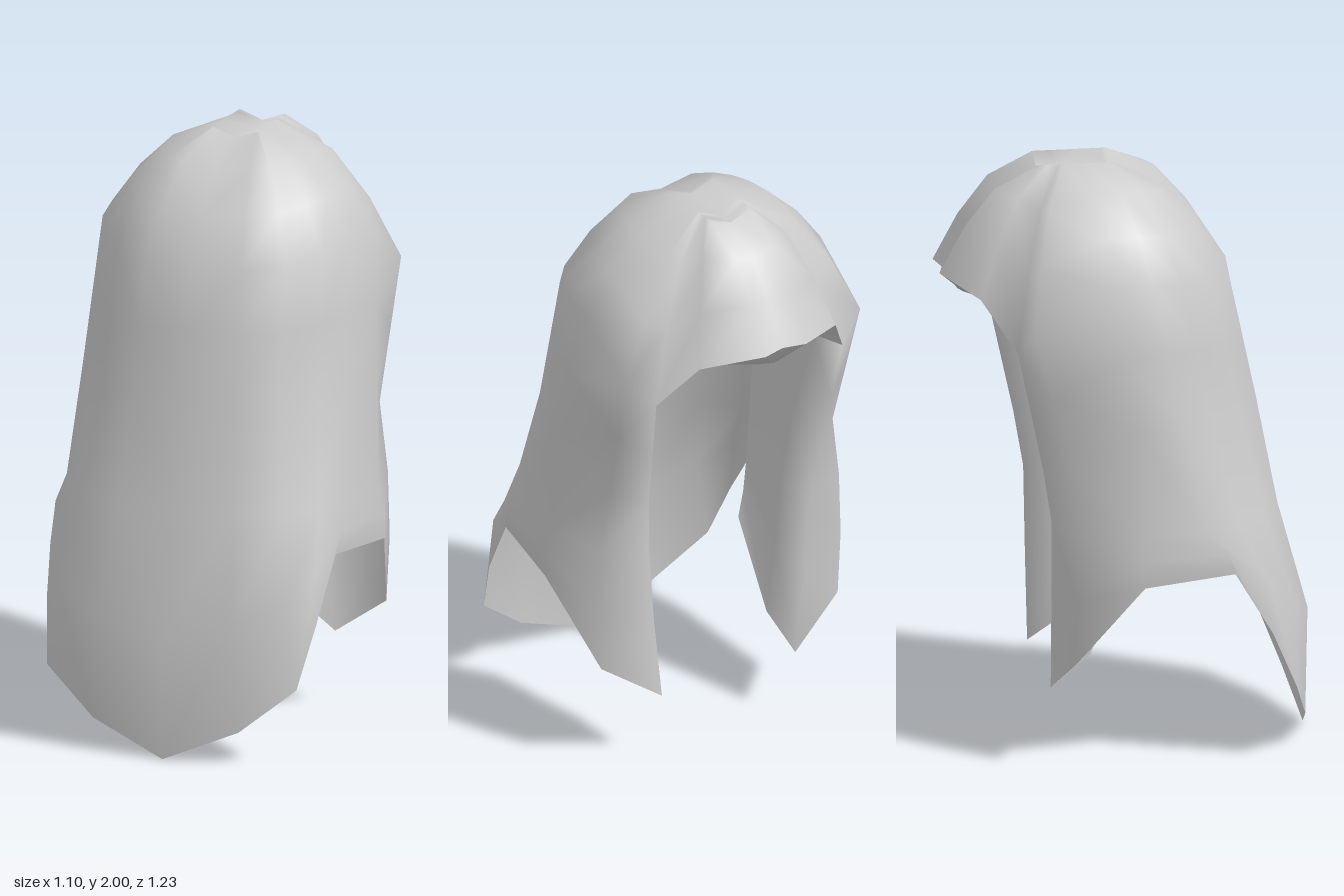
import * as THREE from 'three';
import { mergeVertices } from 'three/addons/utils/BufferGeometryUtils.js';

const { lerp, clamp } = THREE.MathUtils;

// Row between two rows: t blends x and z, ty blends y.
const between = (a, b, t, ty) => a.map((p, i) =>
  [lerp(p[0], b[i][0], t), lerp(p[1], b[i][1], ty), lerp(p[2], b[i][2], t)]);

// Row from [x, z] pairs near one height, dipping toward the face by the given slope.
const level = (y, slope, pts) => pts.map(([x, z]) => [x, y + slope * Math.min(0, z), z]);

// Adds rows of points (bottom to top, back centre to front) as a sheet mirrored in x.
function addGrid(out, rows) {
  for (const s of [1, -1]) {
    const tri = (a, b, c) => {
      for (const p of s > 0 ? [a, b, c] : [a, c, b]) out.push(s * p[0], p[1], p[2]);
    };
    for (let r = 0; r + 1 < rows.length; r++) {
      for (let c = 0; c + 1 < rows[r].length; c++) {
        const a = rows[r][c], b = rows[r][c + 1], d = rows[r + 1][c + 1], e = rows[r + 1][c];
        tri(a, b, d);
        if (d.join() !== e.join()) tri(a, d, e);
      }
    }
  }
}

// Welds the given sheets into one smooth mesh.
function smoothMesh(name, sheets, material) {
  const positions = [];
  sheets.forEach((rows) => addGrid(positions, rows));
  let geometry = new THREE.BufferGeometry();
  geometry.setAttribute('position', new THREE.Float32BufferAttribute(positions, 3));
  geometry = mergeVertices(geometry, 1e-4);
  geometry.computeVertexNormals();
  const mesh = new THREE.Mesh(geometry, material);
  mesh.name = name;
  return mesh;
}

export function createModel() {
  // Tilted ring at the brow, shared by the long fall and the crown
  const brow = [
    [0, 1.63, 0.35], [0.17, 1.63, 0.335], [0.3, 1.64, 0.26], [0.39, 1.66, 0.15], [0.44, 1.68, 0.04],
    [0.468, 1.69, -0.12], [0.467, 1.53, -0.36], [0.37, 1.44, -0.4],
    [0.27, 1.6, -0.51], [0.08, 1.64, -0.62], [0, 1.64, -0.6],
  ];
  const liningTop = [[0.33, 1.44, -0.29], [0.28, 1.6, -0.08]];

  // Long fall: back, sides, front locks and their folded-in lining
  const hem = [
    [0, 0, 0.61], [0.26, 0.11, 0.58], [0.445, 0.26, 0.525], [0.48, 0.46, 0.44], [0.5, 0.68, 0.31],
    [0.55, 0.66, 0], [0.47, 0.38, -0.22], [0.265, 0.24, -0.275], [0.24, 0.34, -0.14], [0.22, 0.64, 0],
  ];
  const waist = level(0.83, 0, [[0, 0.505], [0.2, 0.495], [0.36, 0.43], [0.45, 0.33], [0.5, 0.21],
    [0.53, 0], [0.475, -0.22], [0.32, -0.28], [0.28, -0.16], [0.25, 0]]);
  const chest = level(1.2, 0.6, [[0, 0.435], [0.18, 0.425], [0.31, 0.35], [0.41, 0.24], [0.47, 0.14],
    [0.52, -0.01], [0.44, -0.235], [0.34, -0.31], [0.3, -0.2], [0.26, -0.02]]);
  // The back flares out a little above the hem
  const flare = between(hem, waist, 0.5, 0.5).map(([x, y, z]) => [x * 1.02, y, z + 0.1 * Math.max(0, z)]);
  const top = [...brow.slice(0, 8), ...liningTop];
  const fall = [hem, flare, waist, chest, between(chest, top, 0.5, 0.5), top];

  // Crown: rounded rings closing onto a shallow centre parting
  const ridge = brow.map(([x, , z]) => [Math.min(x, 0.08), x > 0 ? 2 : 1.97, clamp(0.3 * z - 0.1, -0.3, -0.04)]);
  const parting = ridge.map(([, , z]) => [0, 1.97, z]);
  const crown = [brow, between(brow, ridge, 0.25, 0.43), between(brow, ridge, 0.55, 0.79), ridge, parting];

  // Underside of the brim, tucked back inside the crown
  const brim = [
    [liningTop[1], [0.2, 1.74, -0.2], [0.07, 1.79, -0.22], [0, 1.79, -0.22]],
    [liningTop[0], [0.23, 1.57, -0.43], [0.07, 1.57, -0.54], [0, 1.56, -0.55]],
    brow.slice(7),
  ];

  const material = new THREE.MeshStandardMaterial({ color: 0xcccccc, side: THREE.DoubleSide });
  const group = new THREE.Group();
  group.name = 'hairpiece';
  group.add(
    smoothMesh('longHair', [fall, crown], material),
    smoothMesh('brimUnderside', [brim], material)
  );
  return group;
}
